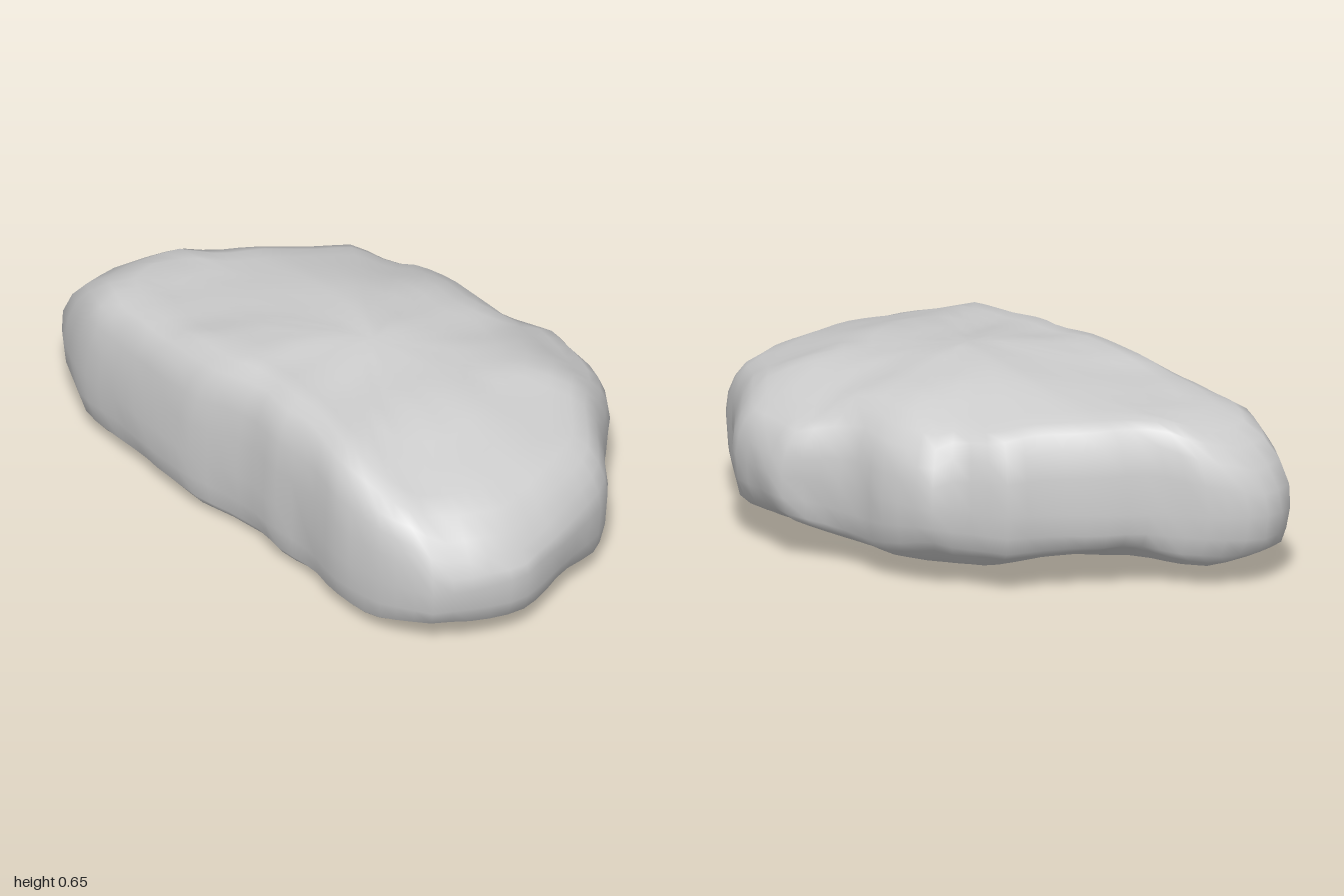
import * as THREE from 'three';

// Plan outline of the boulder as x, z pairs
const OUTLINE = [
  [-1, .36], [-.98, .49], [-.88, .54], [-.77, .58], [-.5, .592], [-.22, .597], [-.12, .57], [.04, .545],
  [.15, .56], [.25, .55], [.36, .555], [.52, .58], [.72, .555], [.8, .52], [.87, .49], [.94, .38],
  [1, .2], [.96, 0], [.905, -.2], [.86, -.27], [.7, -.39], [.55, -.54], [.4, -.585], [.27, -.605],
  [.18, -.54], [.05, -.485], [-.1, -.5], [-.28, -.465], [-.31, -.41], [-.37, -.37], [-.48, -.33],
  [-.55, -.2], [-.68, -.04], [-.77, .1], [-.91, .21],
];

// Limits of the upper and lower faces along x and along z
const TOP = .655;
const TOP_X = [[-1, .42], [-.93, .49], [-.75, .575], [-.6, .575], [-.4, .605], [-.25, .63], [-.08, .655], [.08, .65], [.25, .62], [.45, .615], [.65, .55], [.8, .51], [.88, .46], [1, .33]];
const TOP_Z = [[-.6, .45], [-.54, .49], [-.45, .51], [-.4, .56], [-.3, .595], [-.15, .625], [0, .655], [.2, .645], [.35, .63], [.45, .63], [.55, .57], [.6, .52]];
const LOW_X = [[-1, .11], [-.94, .11], [-.8, .06], [-.68, .04], [-.6, .06], [-.35, .035], [-.2, .05], [0, 0], [.35, .045], [.6, .04], [.97, .085]];
const LOW_Z = [[-.6, .17], [-.4, .08], [-.25, .035], [0, .06], [.25, .045], [.4, .005], [.5, .025], [.55, .045], [.6, .07]];

// Profiles from the middle to the rim: share of the outline, share of the height
const INNER = [[.12, 1], [.26, 1], [.4, 1], [.53, 1], [.65, 1], [.76, 1]];
const UPPER = [...INNER, [.85, .975], [.915, .91], [.96, .75], [.988, .44]];
const LOWER = [...INNER, [.85, 1], [.92, .97], [.965, .87], [.99, .52]];

function lookup(table, v) {
  if (v <= table[0][0]) return table[0][1];
  for (let i = 1; i < table.length; i++) {
    const [a, p] = table[i - 1], [b, q] = table[i];
    if (v <= b) return p + (q - p) * (v - a) / (b - a);
  }
  return table[table.length - 1][1];
}

// Round local dent of depth 1
const dent = (x, z, cx, cz, radius) => Math.exp(-((x - cx) ** 2 + (z - cz) ** 2) / radius ** 2);

// Uneven weathering of the surface
function bump(x, y, z) {
  return .45 * Math.sin(7 * x + 4 * z + 3 * y + 1) * Math.sin(8 * z - 5 * y + 2 * x)
    + .4 * Math.sin(15 * x - 6 * y + 2) * Math.sin(13 * z + 12 * y + 1)
    + .4 * Math.sin(23 * x + 11 * z) * Math.sin(19 * y - 9 * x + 2);
}

function upperFace(x, z) {
  const a = lookup(TOP_X, x), b = lookup(TOP_Z, z);
  // Lower where both slopes meet, with worn back and front corners
  return Math.min(a, b) - .45 * (TOP - Math.max(a, b))
    - .035 * dent(x, z, -.32, -.38, .2)
    - .02 * dent(x, z, .62, .42, .22)
    - .05 * dent(x, z, .88, .43, .09);
}

function lowerFace(x, z) {
  // Undercut along the slanting back left side
  const { smoothstep } = THREE.MathUtils;
  const undercut = smoothstep(-.81 * x - .59 * z, .3, .56) * (1 - smoothstep(z, .05, .3));
  return Math.max(lookup(LOW_X, x), lookup(LOW_Z, z)) + .09 * undercut + .03 * dent(x, z, .85, .5, .2);
}

function createRockGeometry() {
  const segments = 80, cx = .1, cz = .08;
  const points = OUTLINE.map(([x, z]) => new THREE.Vector3(x, 0, z));
  const rim = new THREE.CatmullRomCurve3(points, true, 'catmullrom', .25).getSpacedPoints(segments).slice(0, segments);

  // Rings run from the top centre over the rim to the bottom centre
  const rings = [
    ...UPPER.map(([r, h]) => [r, h, upperFace]),
    [1, 0, upperFace],
    ...LOWER.slice().reverse().map(([r, h]) => [r, h, lowerFace]),
  ];
  const pos = [], idx = [];
  const addPoint = (x, z, r, h, face) => {
    const middle = .28 - .05 * z;
    const y = middle + (face(x, z) - middle) * h;
    const b = bump(x, y, z);
    // Walls are only worn inwards, so the outline keeps its size
    const push = 1 - .025 * Math.max(0, b) * r ** 4;
    pos.push(cx + (x - cx) * push, y + .007 * b * h, cz + (z - cz) * push);
  };
  addPoint(cx, cz, 0, 1, upperFace);
  for (const [r, h, face] of rings) {
    for (const p of rim) addPoint(cx + (p.x - cx) * r, cz + (p.z - cz) * r, r, h, face);
  }
  addPoint(cx, cz, 0, 1, lowerFace);

  const last = 1 + rings.length * segments;
  for (let j = 0; j < segments; j++) {
    const k = (j + 1) % segments;
    idx.push(0, 1 + j, 1 + k);
    for (let i = 0; i < rings.length - 1; i++) {
      const a = 1 + i * segments, b = a + segments;
      idx.push(a + j, b + j, b + k, a + j, b + k, a + k);
    }
    const e = last - segments;
    idx.push(last, e + k, e + j);
  }

  const geometry = new THREE.BufferGeometry();
  geometry.setAttribute('position', new THREE.Float32BufferAttribute(pos, 3));
  geometry.setIndex(idx);

  // Rest it on the floor, centred
  geometry.computeBoundingBox();
  const { min, max } = geometry.boundingBox;
  geometry.translate(-(min.x + max.x) / 2, -min.y, -(min.z + max.z) / 2);
  geometry.computeVertexNormals();
  return geometry;
}

export function createModel() {
  const group = new THREE.Group();
  group.name = 'boulder';
  const rock = new THREE.Mesh(createRockGeometry(), new THREE.MeshStandardMaterial({ color: 0xcccccc }));
  rock.name = 'rock';
  group.add(rock);
  return group;
}
